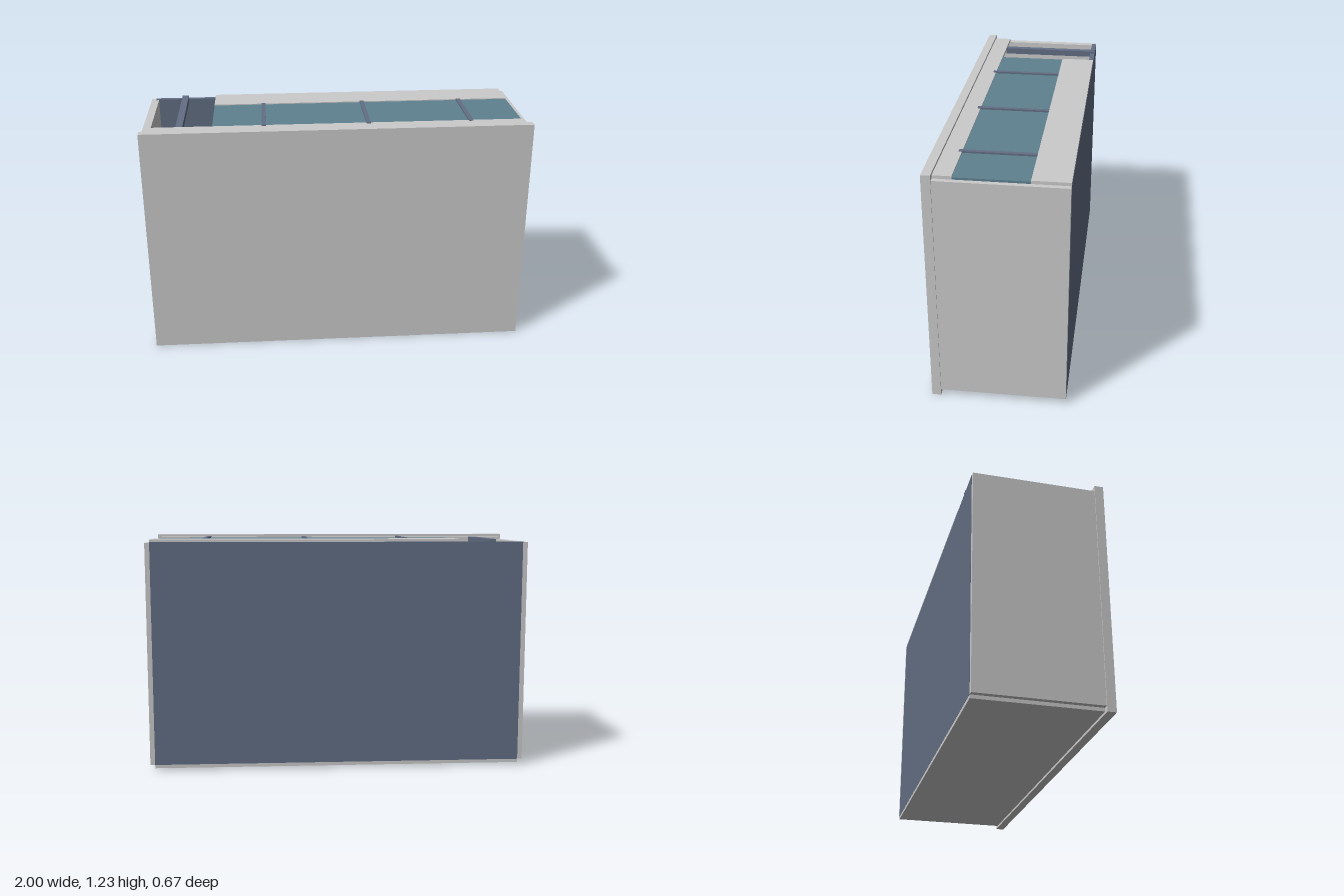
import * as THREE from 'three';

const paint = (color) => new THREE.MeshStandardMaterial({ color });

export function createModel() {
  const model = new THREE.Group();
  const grey = paint(0xcccccc);
  const blue = paint(0x636f84);
  const teal = paint(0x5f8190);
  const dark = paint(0x3c3c40);

  // Box given by its limits along each axis
  const slab = (name, [x0, x1], [y0, y1], [z0, z1], material) => {
    const mesh = new THREE.Mesh(new THREE.BoxGeometry(x1 - x0, y1 - y0, z1 - z0), material);
    mesh.position.set((x0 + x1) / 2, (y0 + y1) / 2, (z0 + z1) / 2);
    mesh.name = name;
    model.add(mesh);
  };

  const back = -0.335, frontFace = 0.335, carcassFront = 0.29;
  const sideTop = 1.197, railTop = 1.213;

  // Front panel overhanging the carcass
  slab('frontPanel', [-1, 1], [0, 1.225], [carcassFront, frontFace], grey);

  // Carcass: side panels, floor and back
  slab('rightSide', [-0.995, -0.955], [0.03, sideTop], [back, carcassFront], grey);
  slab('leftSide', [0.955, 0.995], [0.03, sideTop], [back, carcassFront], grey);
  slab('floor', [-0.97, 0.97], [0.012, 0.03], [back, carcassFront], grey);
  slab('backPanel', [-0.97, 0.97], [0.03, 1.2], [back - 0.001, -0.31], blue);

  // Top rails, with an open bay at one end
  slab('frontRail', [-0.97, 0.97], [sideTop, railTop], [0.2, carcassFront], grey);
  slab('backRail', [-0.64, 0.97], [sideTop, railTop], [back, -0.155], grey);

  // Inset top panel held by cross straps
  slab('topPanel', [-0.64, 0.97], [sideTop, 1.208], [-0.155, 0.2], teal);
  for (const x of [-0.375, 0.165, 0.7]) {
    slab('strap', [x - 0.011, x + 0.011], [1.2, 1.217], [-0.155, 0.215], blue);
  }

  // Bar across the open bay
  slab('bayBar', [-0.825, -0.79], [1.18, railTop], [back, 0.2], blue);

  // Blocks inside, against the back
  slab('darkBlock', [-0.82, -0.68], [0.1, 0.33], [back, 0.03], dark);
  slab('blueBlock', [0.68, 0.82], [0.1, 0.43], [back, 0.03], blue);

  return model;
}
